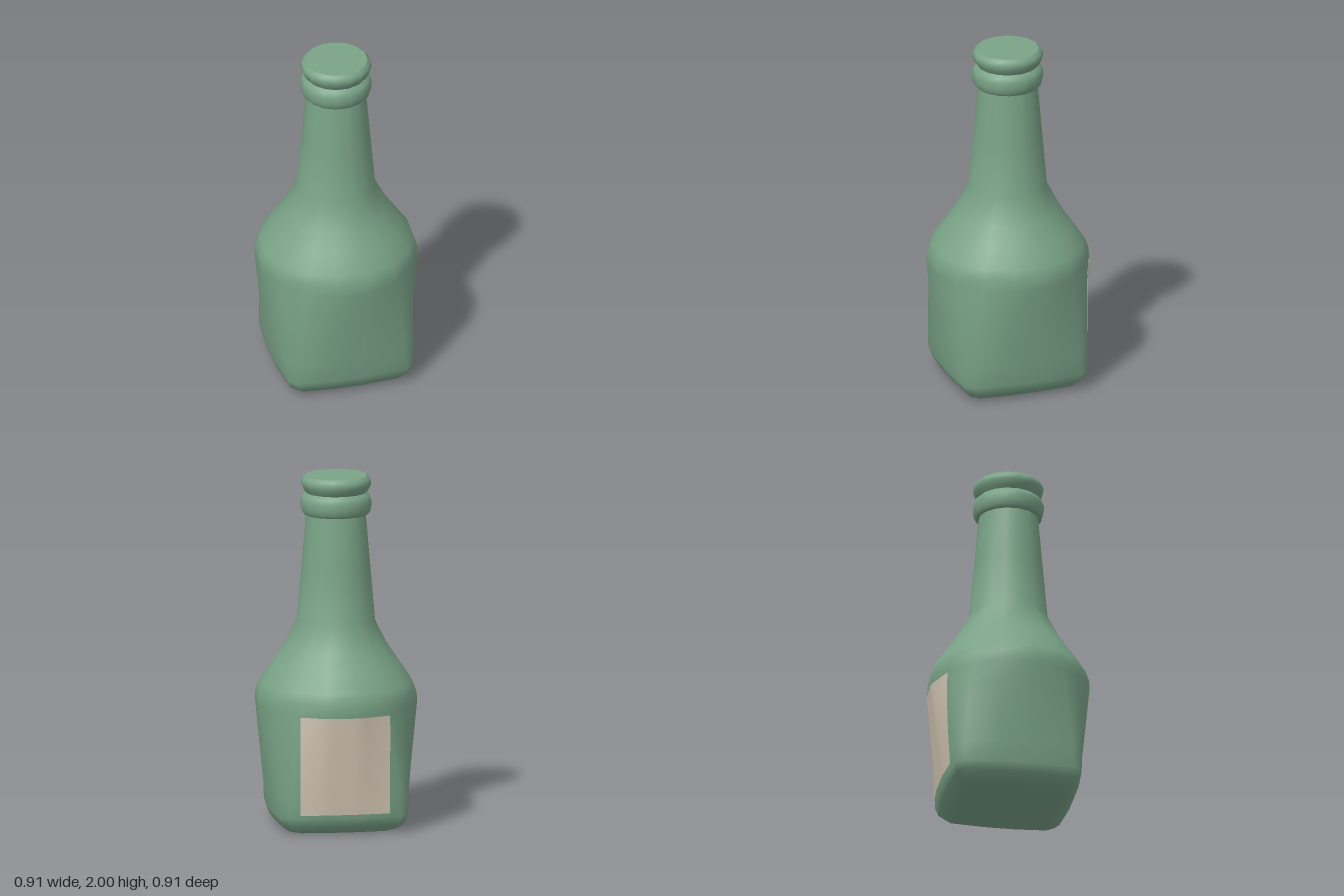
import * as THREE from 'three';

const ANGLES = [-9, 15, 36, 58];                                      // corner angles of one quarter turn
const SQUARE = [[1, -0.23], [1, 0.31], [0.95, 0.83], [0.83, 0.95]];   // rounded square, one side
const lerp = THREE.MathUtils.lerp;

// 16-sided cross-section: blend 0 is a rounded square, 1 is round
function section(y, r, blend = 1) {
  const points = [];
  for (let q = 0; q < 4; q++) {
    const turn = q * Math.PI / 2, c = Math.round(Math.cos(turn)), s = Math.round(Math.sin(turn));
    for (let i = 0; i < 4; i++) {
      const a = ANGLES[i] * Math.PI / 180;
      const x = r * lerp(SQUARE[i][0], Math.cos(a), blend);
      const z = r * lerp(SQUARE[i][1], Math.sin(a), blend);
      points.push([x * c - z * s, y, x * s + z * c]);
    }
  }
  return points;
}

// Smooth skin over rows of points, listed from bottom to top
function skin(rows, closed, material, name) {
  const n = rows[0].length, index = [];
  for (let i = 0; i < rows.length - 1; i++) {
    for (let j = 0; j < (closed ? n : n - 1); j++) {
      const a = i * n + j, b = i * n + (j + 1) % n, c = a + n, d = b + n;
      index.push(a, c, b, b, c, d);
    }
  }
  const geometry = new THREE.BufferGeometry();
  geometry.setAttribute('position', new THREE.Float32BufferAttribute(rows.flat(2), 3));
  geometry.setIndex(index);
  geometry.computeVertexNormals();
  const mesh = new THREE.Mesh(geometry, material);
  mesh.name = name;
  return mesh;
}

// Lower wall runs from a square foot to a round shoulder
function wall(y) {
  const t = (y - 0.1) / 0.6;
  return section(y, lerp(0.383, 0.459, t), t);
}

// Depth of the back wall at a given x
function backDepth(points, x) {
  for (let i = 0; i < points.length; i++) {
    const p = points[i], q = points[(i + 1) % points.length];
    if (p[0] <= x && q[0] >= x && p[2] < 0 && q[2] < 0) {
      return lerp(p[2], q[2], (x - p[0]) / (q[0] - p[0]));
    }
  }
  return 0;
}

export function createModel() {
  const group = new THREE.Group();
  const glass = new THREE.MeshStandardMaterial({ color: 0x7aa387 });
  glass.name = 'green glass';
  const paper = new THREE.MeshStandardMaterial({ color: 0xd0c4b2, side: THREE.DoubleSide });
  paper.name = 'beige paper';

  // Body: square foot, round shoulder, tapering neck
  const foot = [[0, 0], [0, 0.29], [0.015, 0.33], [0.05, 0.365]].map(([y, r]) => section(y, r, 0));
  const walls = [0.1, 0.22, 0.34, 0.46, 0.58, 0.7].map(wall);
  const upper = [[0.76, 0.458], [0.82, 0.437], [0.92, 0.368], [1.02, 0.3], [1.17, 0.222], [1.48, 0.195], [1.79, 0.168]]
    .map(([y, r]) => section(y, r));
  group.add(skin([...foot, ...walls, ...upper], true, glass, 'body'));

  // Two rounded rings at the mouth and the flat top
  const round = (profile, name) => group.add(skin(profile.map(([y, r]) => section(y, r)), true, glass, name));
  round([[1.78, 0.16], [1.78, 0.182], [1.795, 0.194], [1.825, 0.201], [1.86, 0.201], [1.885, 0.192], [1.903, 0.172]], 'lowerRing');
  round([[1.903, 0.172], [1.925, 0.188], [1.95, 0.199], [1.97, 0.199], [1.985, 0.192], [2, 0.177]], 'upperRing');
  round([[2, 0.177], [2, 0]], 'top');

  // Paper label following the back wall
  const label = [];
  for (let i = 0; i <= 8; i++) {
    const y = lerp(0.12, 0.685, i / 8), points = wall(y), row = [];
    for (let j = 0; j <= 16; j++) {
      const x = lerp(-0.25, 0.26, j / 16);
      row.push([x, y, backDepth(points, x) - 0.007]);
    }
    label.push(row);
  }
  group.add(skin(label, false, paper, 'label'));
  return group;
}
